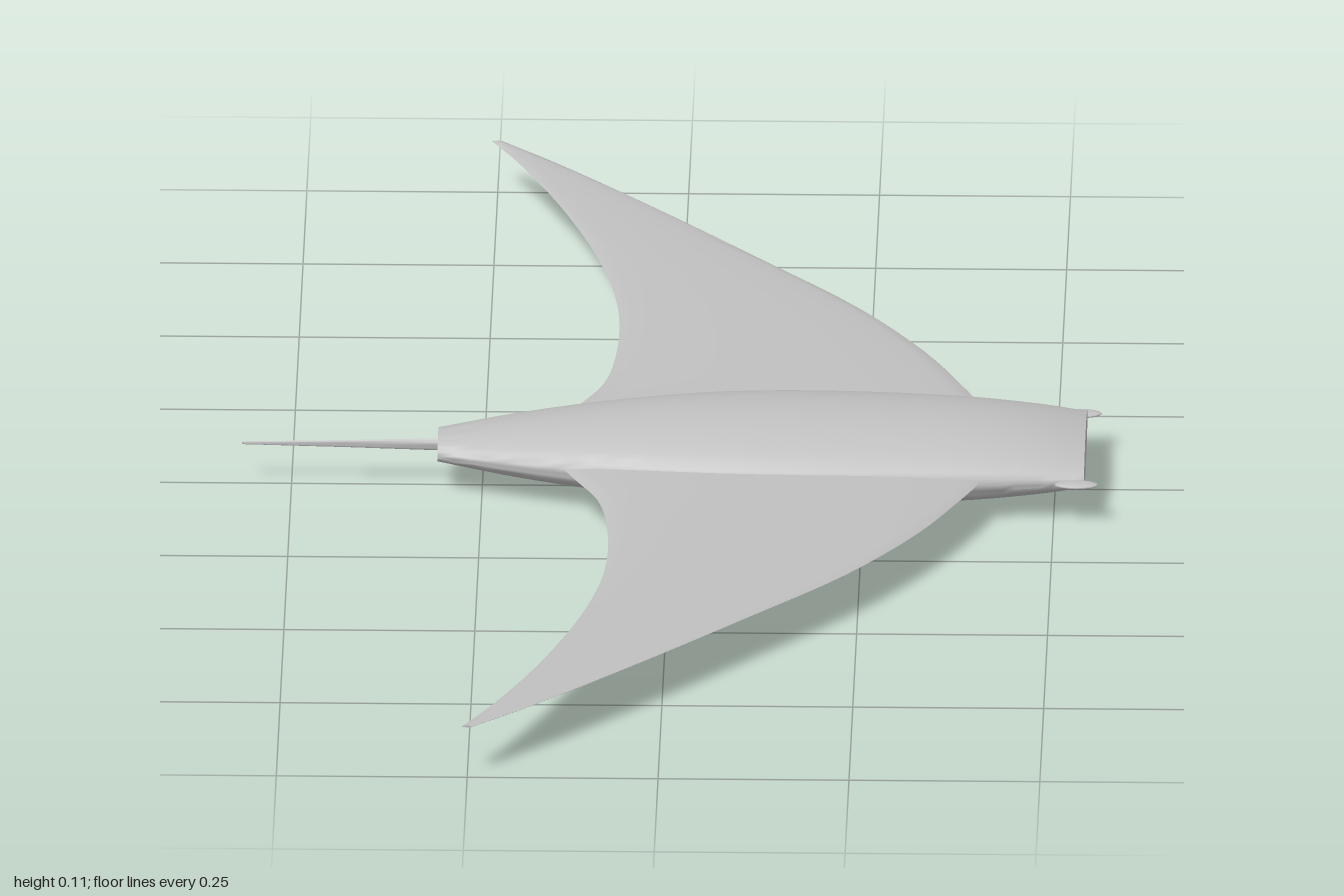
import * as THREE from 'three';
import { toCreasedNormals } from 'three/addons/utils/BufferGeometryUtils.js';

const MID = 0.057;

// Skin a list of closed rings (equal point counts) and cap both ends.
function loft(rings, crease = 0.8) {
  const n = rings[0].length, pos = [], idx = [];
  rings.forEach(r => r.forEach(p => pos.push(p.x, p.y, p.z)));
  for (let i = 0; i < rings.length - 1; i++) {
    for (let j = 0; j < n; j++) {
      const k = (j + 1) % n, a = i * n + j, b = i * n + k;
      idx.push(a, b, a + n, b, b + n, a + n);
    }
  }
  const last = (rings.length - 1) * n;
  for (let j = 1; j < n - 1; j++) {
    idx.push(0, j + 1, j, last, last + j, last + j + 1);
  }
  const g = new THREE.BufferGeometry();
  g.setAttribute('position', new THREE.Float32BufferAttribute(pos, 3));
  g.setIndex(idx);
  return toCreasedNormals(g, crease);
}

// Smooth curve through a few points, sampled evenly.
const sample = (pts, n) =>
  new THREE.CatmullRomCurve3(pts.map(p => new THREE.Vector3(...p))).getPoints(n);

// Elliptical rings along x; each station is (x, half height, half width).
function ellipseRings(stations, sides) {
  return stations.map(s => Array.from({ length: sides }, (_, j) => {
    const a = j / sides * Math.PI * 2;
    return new THREE.Vector3(s.x, MID + s.y * Math.cos(a), s.z * Math.sin(a));
  }));
}

// Swept wing: lens sections between the trailing and leading edges.
function wingGeometry(side) {
  // (span z, trailing x, leading x)
  const stations = sample([
    [0.05, -0.16, 0.42], [0.13, -0.125, 0.402], [0.2, -0.095, 0.375],
    [0.31, -0.08, 0.325], [0.455, -0.082, 0.235], [0.61, -0.11, 0.108],
    [0.79, -0.165, -0.045], [0.93, -0.222, -0.172], [1.0, -0.257, -0.243],
  ], 32);
  const sides = 28;
  const rings = stations.map(s => {
    const t = (s.x - 0.05) / 0.95;
    const thick = THREE.MathUtils.lerp(0.012, 0.0012, t);
    const y = THREE.MathUtils.lerp(0.06, 0.072, t);
    return Array.from({ length: sides }, (_, j) => {
      const a = side * j / sides * Math.PI * 2;
      const x = (s.y + s.z) / 2 + (s.z - s.y) / 2 * Math.cos(a);
      return new THREE.Vector3(x, y + thick * Math.sin(a), side * s.x);
    });
  });
  return loft(rings, 1.2);
}

export function createModel() {
  const group = new THREE.Group();
  const grey = new THREE.MeshStandardMaterial({ color: 0xc0c0c0 });
  grey.name = 'grey skin';
  const add = (name, geometry) => {
    const mesh = new THREE.Mesh(geometry, grey);
    mesh.name = name;
    group.add(mesh);
    return mesh;
  };

  // Flattened body with blunt ends
  add('body', loft(ellipseRings(sample([
    [-0.308, 0.017, 0.042], [-0.2, 0.033, 0.079], [-0.08, 0.046, 0.11],
    [0.05, 0.055, 0.131], [0.16, 0.057, 0.137], [0.28, 0.055, 0.135],
    [0.4, 0.049, 0.129], [0.48, 0.039, 0.122], [0.54, 0.027, 0.115],
  ], 40), 40)));

  // Thin whip tail
  add('tail', loft(ellipseRings([
    new THREE.Vector3(-0.565, 0.002, 0.001),
    new THREE.Vector3(-0.43, 0.005, 0.003),
    new THREE.Vector3(-0.29, 0.009, 0.005),
  ], 12)));

  for (const side of [1, -1]) {
    const label = side > 0 ? 'left' : 'right';
    add(label + 'Wing', wingGeometry(side));

    // Small flat lobe at each corner of the mouth
    const lobe = add(label + 'Lobe', new THREE.SphereGeometry(1, 16, 10));
    lobe.scale.set(0.029, 0.004, 0.013);
    lobe.position.set(0.53, MID, side * 0.122);
  }
  return group;
}
